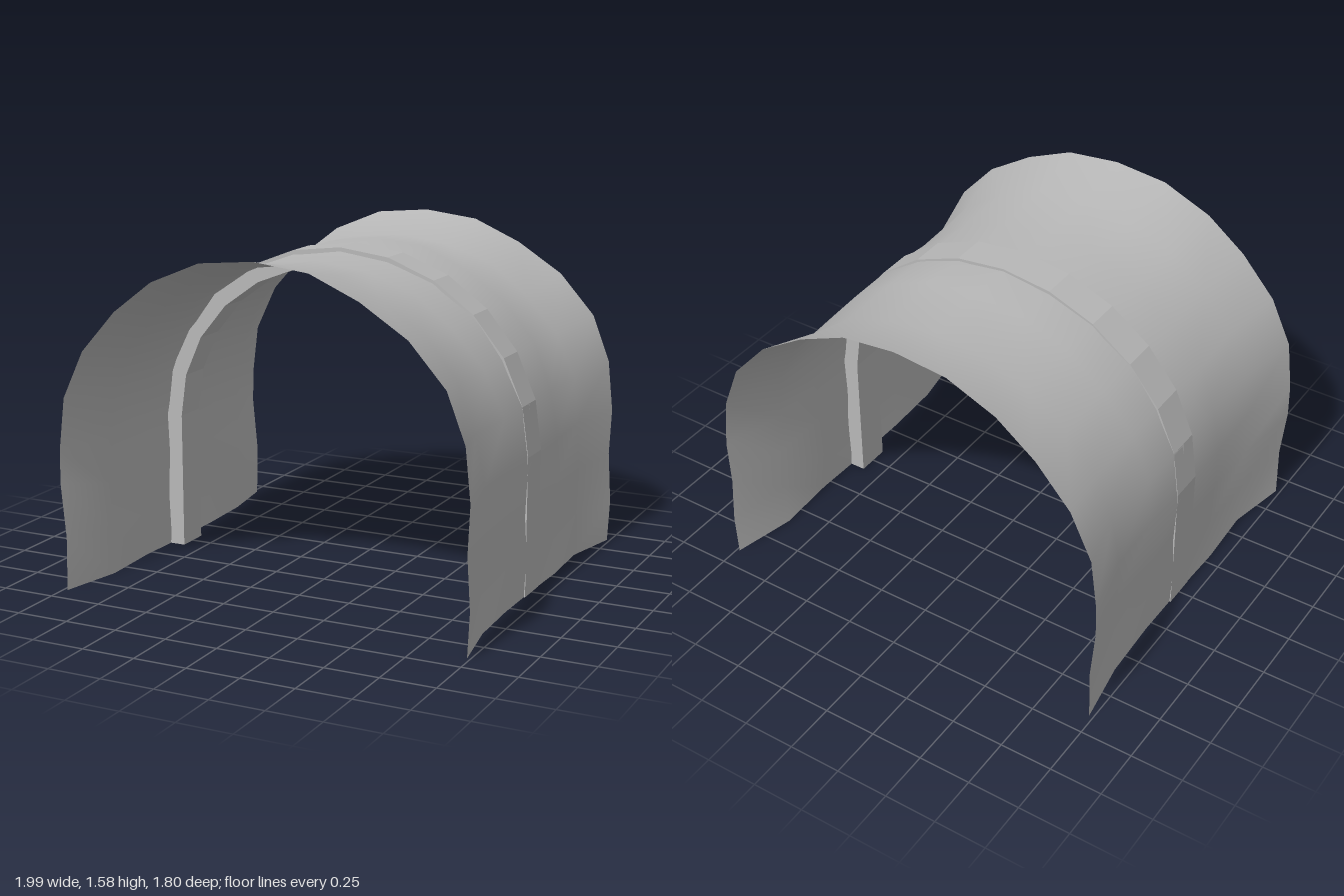
import * as THREE from 'three';

const SPRING = 0.65; // height where the straight walls turn into the arch

// Wall-and-arch outline running from the +x foot over the crown to the -x foot
function archPoints(rx, ry, wallSteps) {
  const pts = [];
  for (let i = 0; i < wallSteps; i++) pts.push([rx, (SPRING * i) / wallSteps]);
  for (let i = 0; i <= 12; i++) {
    const a = (i * Math.PI) / 12;
    pts.push([rx * Math.cos(a), SPRING + ry * Math.sin(a)]);
  }
  for (let i = wallSteps - 1; i >= 0; i--) pts.push([-rx, (SPRING * i) / wallSteps]);
  return pts;
}

// Uneven flared mouth of the tunnel
const MOUTH = [
  [0.985, 0], [0.995, 0.2], [0.98, 0.44], [0.99, 0.66], [0.965, 0.9], [0.88, 1.12],
  [0.71, 1.31], [0.49, 1.45], [0.26, 1.55], [0, 1.58], [-0.26, 1.555], [-0.5, 1.455],
  [-0.69, 1.31], [-0.86, 1.12], [-0.965, 0.9], [-0.995, 0.66], [-0.998, 0.5],
  [-0.975, 0.25], [-0.98, 0],
];

// Thin lining: rings along z joined into one smooth sheet
function buildLining() {
  const crown = [1.585, 1.495, 1.52, 1.513, 1.495, 1.52, 1.575];
  const positions = [], index = [];
  crown.forEach((top, r) => {
    const z = -0.9 + r * 0.3;
    const end = r === 0 || r === 6;
    const ring = end ? MOUTH : archPoints(0.925, top - SPRING, 3);
    ring.forEach(([x, y], i) => {
      // gentle unevenness on the inner rings
      const k = end || i === 9 ? 1 : 1 + 0.008 * Math.sin(i * 2.3 + r * 4.1);
      const lift = y > SPRING ? SPRING + (y - SPRING) * k : y;
      positions.push(x * k, lift, z);
    });
  });
  const n = MOUTH.length;
  for (let r = 0; r < 6; r++) {
    for (let i = 0; i < n - 1; i++) {
      const a = r * n + i, b = a + 1, c = a + n, d = c + 1;
      index.push(a, b, c, b, d, c);
    }
  }
  const g = new THREE.BufferGeometry();
  g.setAttribute('position', new THREE.Float32BufferAttribute(positions, 3));
  g.setIndex(index);
  g.computeVertexNormals();
  return g;
}

// Faceted support rib: outer outline, then back along the inner one
function buildRib() {
  const outline = [...archPoints(0.928, 0.877, 1), ...archPoints(0.85, 0.79, 1).reverse()];
  const shape = new THREE.Shape(outline.map(([x, y]) => new THREE.Vector2(x, y)));
  const g = new THREE.ExtrudeGeometry(shape, { depth: 0.164, bevelEnabled: false });
  g.translate(0, 0, -0.082);
  return g;
}

export function createModel() {
  const group = new THREE.Group();
  group.name = 'tunnelSegment';
  const stone = new THREE.MeshStandardMaterial({ color: 0xb8b8b8, side: THREE.DoubleSide });
  stone.name = 'paleGrey';

  const lining = new THREE.Mesh(buildLining(), stone);
  lining.name = 'tunnelLining';
  const rib = new THREE.Mesh(buildRib(), stone);
  rib.name = 'supportRib';
  group.add(lining, rib);
  return group;
}
